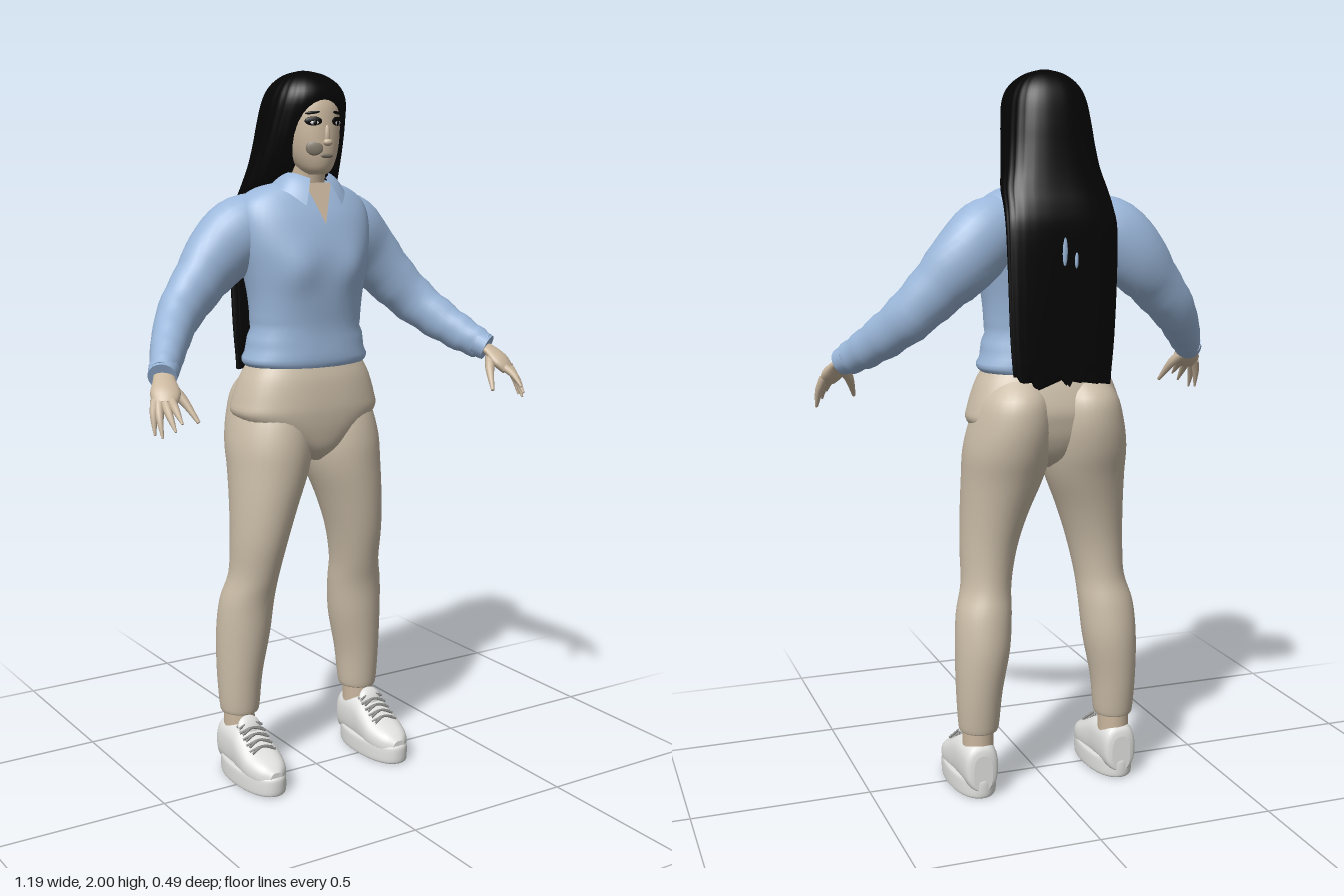
import * as THREE from 'three';

const mat = (name, color, side = THREE.FrontSide) => {
  const m = new THREE.MeshStandardMaterial({ color, side });
  m.name = name;
  return m;
};

// Smooth interpolation through rows of numbers
function smooth(rows, sub = 4) {
  const out = [], last = rows.length - 1;
  for (let i = 0; i < last; i++) {
    const a = rows[Math.max(i - 1, 0)], b = rows[i], c = rows[i + 1], d = rows[Math.min(i + 2, last)];
    for (let k = 0; k < sub; k++) {
      const t = k / sub;
      out.push(b.map((_, j) => 0.5 * (2 * b[j] + (c[j] - a[j]) * t
        + (2 * a[j] - 5 * b[j] + 4 * c[j] - d[j]) * t * t
        + (3 * b[j] - a[j] - 3 * c[j] + d[j]) * t * t * t)));
    }
  }
  out.push(rows[last]);
  return out;
}

// Skin closed superellipse sections {c, u, v}; u x v points along the sweep
function loft(secs, seg = 32, n = 2, deform = null) {
  const pos = [], idx = [];
  const pw = (x) => Math.sign(x) * Math.abs(x) ** (2 / n);
  secs.forEach((s, j) => {
    for (let i = 0; i < seg; i++) {
      const a = (i / seg) * Math.PI * 2;
      const p = s.c.clone().addScaledVector(s.u, pw(Math.cos(a))).addScaledVector(s.v, pw(Math.sin(a)));
      if (deform) deform(p, a, j / (secs.length - 1));
      pos.push(p.x, p.y, p.z);
      if (j < secs.length - 1) {
        const k = (i + 1) % seg, A = j * seg + i, B = j * seg + k;
        idx.push(A, B, B + seg, A, B + seg, A + seg);
      }
    }
  });
  // End caps with their own vertices
  [0, secs.length - 1].forEach((j) => {
    const start = pos.length / 3;
    for (let i = 0; i < seg * 3; i++) pos.push(pos[j * seg * 3 + i]);
    const c = secs[j].c;
    pos.push(c.x, c.y, c.z);
    for (let i = 0; i < seg; i++) {
      const k = (i + 1) % seg;
      if (j) idx.push(start + i, start + k, start + seg);
      else idx.push(start + k, start + i, start + seg);
    }
  });
  const g = new THREE.BufferGeometry();
  g.setAttribute('position', new THREE.Float32BufferAttribute(pos, 3));
  g.setIndex(idx);
  g.computeVertexNormals();
  return g;
}

const V = (x, y, z) => new THREE.Vector3(x, y, z);

// Upright form from rows [y, centre x, half width, front z, back z], bottom to top
const upright = (rows, side = 1, seg, n, deform) => loft(smooth(rows).map(([y, cx, rx, zf, zb]) => (
  { c: V(cx * side, y, (zf + zb) / 2), u: V(0, 0, (zf - zb) / 2), v: V(rx, 0, 0) })), seg, n, deform);

// Limb from points [x, y, z, horizontal radius]; tall scales the other radius
function limb(pts, side = 1, tall = 1, seg = 20, deform = null) {
  const s = smooth(pts);
  return loft(s.map(([x, y, z, r], i) => {
    const a = s[Math.max(i - 1, 0)], b = s[Math.min(i + 1, s.length - 1)];
    const w = V((b[0] - a[0]) * side, b[1] - a[1], b[2] - a[2]).normalize();
    const u = V(0, 1, 0).cross(w).normalize();
    const v = w.clone().cross(u);
    return { c: V(x * side, y, z), u: u.multiplyScalar(r), v: v.multiplyScalar(r * tall) };
  }), seg, 2, deform);
}

export function createModel() {
  const model = new THREE.Group();
  const skin = mat('skin', 0xcab79e), shirt = mat('shirt blue', 0x9bb7da);
  const shirtOpen = mat('collar blue', 0x9bb7da, THREE.DoubleSide);
  const pants = mat('trouser beige', 0xcbbda8), black = mat('hair black', 0x040404);
  const white = mat('shoe white', 0xe2e2e0), grey = mat('lace grey', 0x8c8c8a);
  const shade = mat('face taupe', 0x80786a);
  const add = (name, geo, m, parent = model) => {
    const mesh = new THREE.Mesh(geo, m);
    mesh.name = name;
    parent.add(mesh);
    return mesh;
  };
  const blob = (name, m, x, y, z, sx, sy, sz, ry = 0, rz = 0) => {
    const b = add(name, new THREE.SphereGeometry(1, 20, 14), m);
    b.position.set(x, y, z);
    b.scale.set(sx, sy, sz);
    b.rotation.set(0, ry, rz);
  };

  // Head and neck
  add('head', upright([
    [1.722, 0, 0.022, 0.03, -0.02], [1.737, 0, 0.043, 0.046, -0.06], [1.77, 0, 0.062, 0.056, -0.1],
    [1.81, 0, 0.074, 0.058, -0.12], [1.86, 0, 0.08, 0.056, -0.13], [1.91, 0, 0.079, 0.048, -0.13],
    [1.95, 0, 0.062, 0.022, -0.11], [1.975, 0, 0.025, -0.02, -0.08]]), skin);
  add('neck', upright([[1.6, 0, 0.055, 0, -0.11], [1.68, 0, 0.05, -0.004, -0.1], [1.77, 0, 0.05, 0.01, -0.1]]), skin);
  blob('nose', skin, 0, 1.826, 0.053, 0.009, 0.03, 0.01);
  blob('noseTip', skin, 0, 1.808, 0.058, 0.014, 0.01, 0.012);
  blob('lips', shade, 0, 1.773, 0.054, 0.02, 0.007, 0.006);
  blob('cheekMark', shade, -0.033, 1.793, 0.044, 0.024, 0.02, 0.006, -0.5);
  for (const s of [1, -1]) {
    blob('eyelashes', black, s * 0.038, 1.864, 0.046, 0.024, 0.012, 0.005, s * 0.4);
    blob('eyeWhite', white, s * 0.037, 1.86, 0.049, 0.013, 0.006, 0.004, s * 0.4);
    blob('iris', black, s * 0.036, 1.86, 0.0515, 0.006, 0.006, 0.003, s * 0.4);
    blob('eyebrow', black, s * 0.04, 1.886, 0.044, 0.021, 0.004, 0.004, s * 0.4, s * -0.12);
  }

  // Long hair: crown, side curtains and a flat fall with a ragged end
  add('hair', upright([
    [1.185, 0, 0.138, -0.2, -0.226], [1.3, 0, 0.147, -0.195, -0.232], [1.45, 0, 0.152, -0.19, -0.238],
    [1.58, 0, 0.154, -0.172, -0.242], [1.64, 0, 0.15, -0.13, -0.233], [1.69, 0, 0.145, -0.075, -0.217],
    [1.74, 0, 0.134, -0.035, -0.205], [1.8, 0, 0.125, 0.0, -0.195], [1.86, 0, 0.118, 0.025, -0.187],
    [1.92, 0, 0.108, 0.043, -0.175], [1.96, 0, 0.088, 0.03, -0.155], [1.988, 0, 0.052, -0.008, -0.122],
    [2.0, 0, 0.012, -0.055, -0.08]], 1, 96, 2.5, (p, a, t) => {
    p.x *= 1 + 0.012 * Math.sin(a * 24);
    if (t === 0) p.y += 0.014 * Math.sin(p.x * 150) + 0.01 * Math.sin(p.x * 67);
  }), black);
  // Shirt showing through gaps between the strands
  blob('hairGap', shirt, 0.005, 1.53, -0.239, 0.008, 0.042, 0.005);
  blob('hairGap', shirt, -0.028, 1.505, -0.238, 0.006, 0.024, 0.005);

  // Shirt body with soft bust and gathered waist
  add('shirtBody', upright([
    [1.195, 0, 0.178, 0.046, -0.175], [1.22, 0, 0.186, 0.052, -0.18], [1.3, 0, 0.167, 0.048, -0.168],
    [1.38, 0, 0.169, 0.056, -0.175], [1.46, 0, 0.183, 0.062, -0.188], [1.53, 0, 0.198, 0.058, -0.198],
    [1.6, 0, 0.205, 0.038, -0.2], [1.65, 0, 0.19, 0.014, -0.185], [1.685, 0, 0.14, -0.006, -0.155],
    [1.705, 0, 0.065, -0.02, -0.12]], 1, 48, 2.3, (p, a) => {
    if (p.z > -0.05) p.z += 0.014 * Math.exp(-(((Math.abs(p.x) - 0.085) / 0.05) ** 2) - ((p.y - 1.47) / 0.06) ** 2);
    if (p.y < 1.32) p.x += 0.004 * Math.sin(p.y * 110) * Math.sign(p.x) * Math.abs(Math.sin(a));
  }), shirt);

  // Open neckline
  const vee = new THREE.BufferGeometry();
  vee.setAttribute('position', new THREE.Float32BufferAttribute(
    [-0.042, 1.7, 0.008, 0, 1.59, 0.05, 0.042, 1.7, 0.008], 3));
  vee.computeVertexNormals();
  add('necklineSkin', vee, skin);

  // Folded collar, open at the front with two points
  const collar = new THREE.PlaneGeometry(1, 1, 48, 4), cp = collar.attributes.position;
  for (let i = 0; i < cp.count; i++) {
    const u = cp.getX(i) + 0.5, t = 0.5 - cp.getY(i);
    const a = 0.4 + u * (Math.PI * 2 - 0.8), e = Math.max(0, Math.cos(a)) ** 3;
    const r = 0.062 + 0.045 * t, b = a + (a < Math.PI ? 1 : -1) * 0.2 * e * t;
    cp.setXYZ(i, Math.sin(b) * r, 1.728 - 0.02 * e - t * (0.045 + 0.035 * e) + 0.008 * Math.sin(t * Math.PI),
      -0.055 + Math.cos(b) * (r + 0.008 * e));
  }
  collar.computeVertexNormals();
  add('collar', collar, shirtOpen);

  // Trousers: hips, running down to a point between the legs
  add('hips', upright([
    [0.925, 0, 0.02, 0.01, -0.1], [0.96, 0, 0.075, 0.046, -0.16], [1.01, 0, 0.16, 0.06, -0.188],
    [1.06, 0, 0.218, 0.065, -0.2], [1.1, 0, 0.216, 0.064, -0.203], [1.16, 0, 0.196, 0.056, -0.187],
    [1.2, 0, 0.175, 0.044, -0.17]], 1, 48, 2.4), pants);

  for (const s of [1, -1]) {
    // Trouser leg, rounded at the seat
    add('trouserLeg', upright([
      [0.185, 0.205, 0.05, -0.04, -0.15], [0.2, 0.205, 0.057, -0.035, -0.155], [0.3, 0.203, 0.065, -0.025, -0.168],
      [0.42, 0.192, 0.077, -0.012, -0.176], [0.52, 0.184, 0.078, -0.002, -0.165], [0.6, 0.171, 0.07, 0.018, -0.147],
      [0.7, 0.16, 0.079, 0.042, -0.148], [0.8, 0.143, 0.094, 0.056, -0.165], [0.9, 0.122, 0.113, 0.063, -0.192],
      [0.98, 0.113, 0.12, 0.062, -0.218], [1.06, 0.105, 0.112, 0.045, -0.23], [1.13, 0.1, 0.093, 0.01, -0.218],
      [1.185, 0.09, 0.06, -0.03, -0.16]], s), pants);

    // Sleeve with light creases, and cuff
    add('sleeve', limb([
      [0.11, 1.595, -0.1, 0.072], [0.18, 1.563, -0.112, 0.086], [0.25, 1.497, -0.122, 0.08], [0.32, 1.423, -0.106, 0.066],
      [0.39, 1.35, -0.077, 0.058], [0.45, 1.288, -0.01, 0.05], [0.495, 1.245, 0.055, 0.042],
      [0.525, 1.222, 0.097, 0.034]], s, 1.17, 28, (p, a, t) => {
      if (t > 0.35) p.y += 0.003 * Math.sin(t * 55 + a);
    }), shirt);
    add('cuff', limb([[0.51, 1.233, 0.076, 0.041], [0.528, 1.219, 0.102, 0.038]], s), shirt);

    // Hand
    const hand = new THREE.Group();
    hand.name = 'hand';
    model.add(hand);
    add('palm', limb([[0.515, 1.228, 0.085, 0.026], [0.53, 1.21, 0.118, 0.03], [0.542, 1.183, 0.148, 0.039],
      [0.553, 1.16, 0.168, 0.03]], s, 0.5), skin, hand);
    [[0.572, 1.17, 0.148, 0.588, 1.085, 0.178], [0.566, 1.165, 0.16, 0.58, 1.082, 0.205],
      [0.554, 1.163, 0.17, 0.558, 1.1, 0.236], [0.537, 1.168, 0.172, 0.543, 1.12, 0.243]].forEach(([x, y, z, X, Y, Z]) =>
      add('finger', limb([[x, y, z, 0.012], [(x + X) / 2 + 0.003, (y + Y) / 2 + 0.006, (z + Z) / 2, 0.01],
        [X, Y, Z, 0.003]], s, 1, 10), skin, hand));
    add('thumb', limb([[0.525, 1.2, 0.125, 0.017], [0.497, 1.165, 0.155, 0.013], [0.475, 1.11, 0.198, 0.005]], s, 1, 10), skin, hand);

    // Shoe: sole, upper, tongue and laces
    const shoe = new THREE.Group();
    shoe.name = 'shoe';
    shoe.position.x = s * 0.21;
    model.add(shoe);
    add('sole', upright([[0, 0, 0.061, 0.128, -0.15], [0.008, 0, 0.065, 0.135, -0.155], [0.045, 0, 0.065, 0.135, -0.155],
      [0.055, 0, 0.061, 0.13, -0.151]], 1, 40, 2.2), white, shoe);
    add('upper', loft(smooth([
      [-0.153, 0.028, 0.125], [-0.143, 0.046, 0.15], [-0.1, 0.053, 0.16], [-0.04, 0.056, 0.157], [0, 0.06, 0.138],
      [0.05, 0.061, 0.11], [0.1, 0.046, 0.09], [0.127, 0.02, 0.07]]).map(([z, rx, top]) => (
      { c: V(0, (top + 0.02) / 2, z), u: V(rx, 0, 0), v: V(0, (top - 0.02) / 2, 0) })), 28, 2.6), white, shoe);
    const tongue = add('tongue', new THREE.SphereGeometry(1, 18, 12), white, shoe);
    tongue.position.set(0, 0.155, -0.03);
    tongue.scale.set(0.036, 0.032, 0.014);
    tongue.rotation.x = -0.5;
    for (let i = 0; i < 5; i++) {
      const z = 0.047 - i * 0.019, y = 0.117 + i * 0.012, d = i % 2 ? 0.008 : -0.008;
      for (const k of [1, -1]) {
        const path = new THREE.CatmullRomCurve3([V(-0.038, y - 0.009, z + k * d), V(0, y + 0.004, z), V(0.038, y - 0.009, z - k * d)]);
        add('lace', new THREE.TubeGeometry(path, 8, 0.0035, 6), grey, shoe);
      }
    }
    add('ankle', upright([[0.13, 0.207, 0.044, -0.046, -0.142], [0.21, 0.207, 0.044, -0.046, -0.142]], s), skin);
  }
  return model;
}
